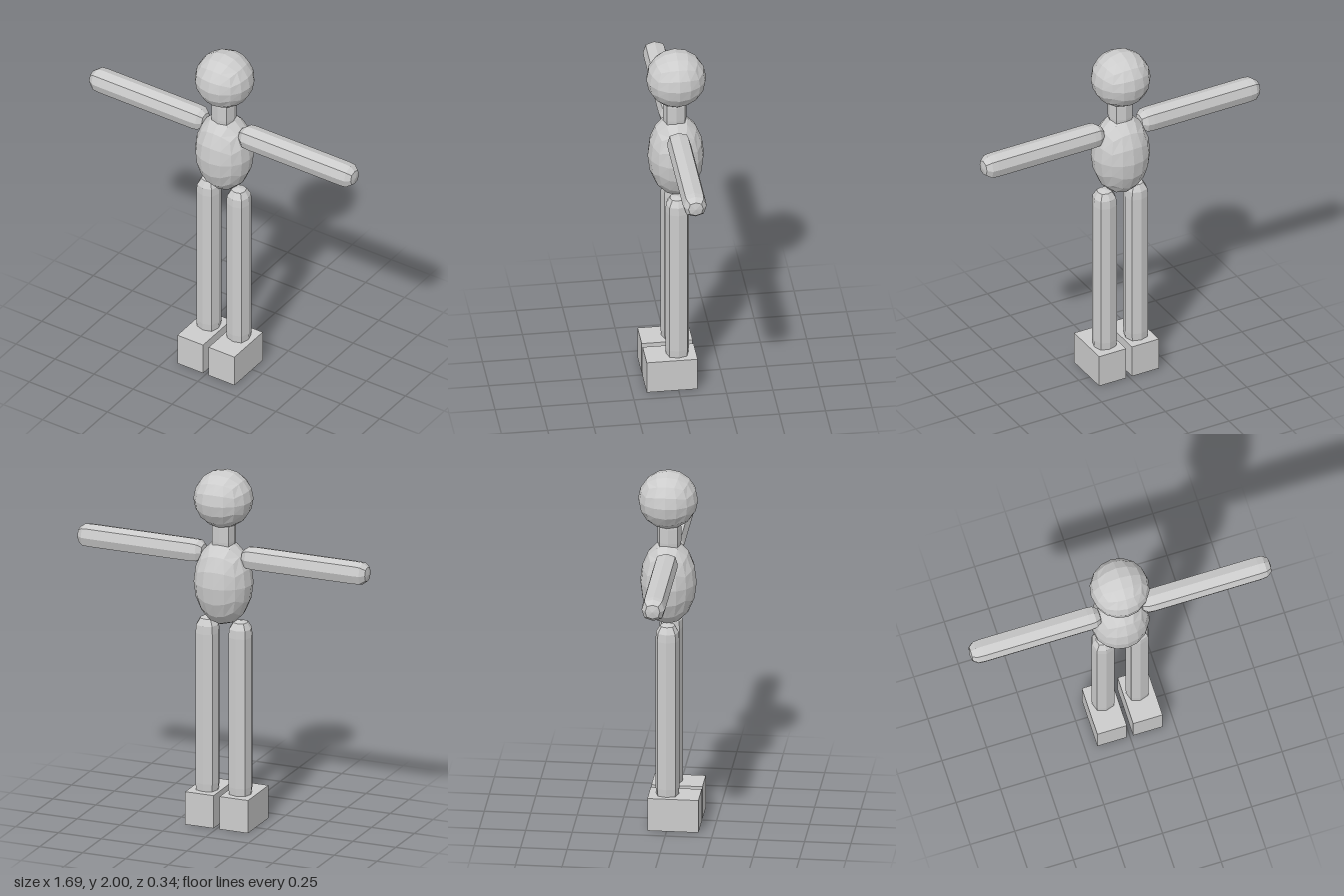
import * as THREE from 'three';

const grey = new THREE.MeshStandardMaterial({ color: 0xcccccc, flatShading: true });
grey.name = 'plain grey';

function part(name, geometry, x, y, z) {
  const mesh = new THREE.Mesh(geometry, grey);
  mesh.name = name;
  mesh.position.set(x, y, z);
  return mesh;
}

// Ball made from a cube with four quads along each edge
function cubeBall(rx, ry, rz) {
  const g = new THREE.BoxGeometry(2, 2, 2, 4, 4, 4);
  const p = g.attributes.position;
  const v = new THREE.Vector3();
  const warp = (c) => Math.tan((c * Math.PI) / 4);
  for (let i = 0; i < p.count; i++) {
    v.fromBufferAttribute(p, i);
    v.set(warp(v.x), warp(v.y), warp(v.z)).normalize();
    p.setXYZ(i, v.x * rx, v.y * ry, v.z * rz);
  }
  g.computeVertexNormals();
  return g;
}

// Eight-sided bar along y, rounded at both ends, with slightly squared corners
function roundedBar(length, r, shoulder, endScale = 0.62) {
  const h = length / 2;
  const profile = [
    [0, -h], [r * endScale, -h + shoulder * 0.2], [r * 0.95, -h + shoulder], [r, -h + shoulder * 2],
    [r, h - shoulder * 2], [r * 0.95, h - shoulder], [r * endScale, h - shoulder * 0.2], [0, h],
  ].map(([x, y]) => new THREE.Vector2(x, y));
  const g = new THREE.LatheGeometry(profile, 8);
  const p = g.attributes.position;
  for (let i = 0; i < p.count; i++) {
    const x = p.getX(i), z = p.getZ(i);
    if (Math.abs(x) > 1e-4 && Math.abs(z) > 1e-4) p.setXYZ(i, x * 1.08, p.getY(i), z * 1.08);
  }
  g.computeVertexNormals();
  return g;
}

export function createModel() {
  const figure = new THREE.Group();
  figure.name = 'figure';

  // Head, neck and torso
  figure.add(part('head', cubeBall(0.161, 0.159, 0.161), 0, 1.841, -0.011));
  figure.add(part('neck', roundedBar(0.24, 0.064, 0.04), 0, 1.645, -0.004));
  figure.add(part('torso', cubeBall(0.162, 0.24, 0.152), 0, 1.37, -0.009));

  // Limbs and feet, mirrored
  for (const [side, s] of [['left', 1], ['right', -1]]) {
    const arm = part(side + 'Arm', roundedBar(0.735, 0.064, 0.035), s * 0.4775, 1.523, -0.004);
    arm.rotation.z = -s * Math.PI / 2;
    figure.add(arm);
    figure.add(part(side + 'Leg', roundedBar(1.025, 0.064, 0.045), s * 0.096, 0.65, -0.004));
    figure.add(part(side + 'Foot', new THREE.BoxGeometry(0.165, 0.185, 0.275), s * 0.1005, 0.0925, 0.0345));
  }
  return figure;
}
